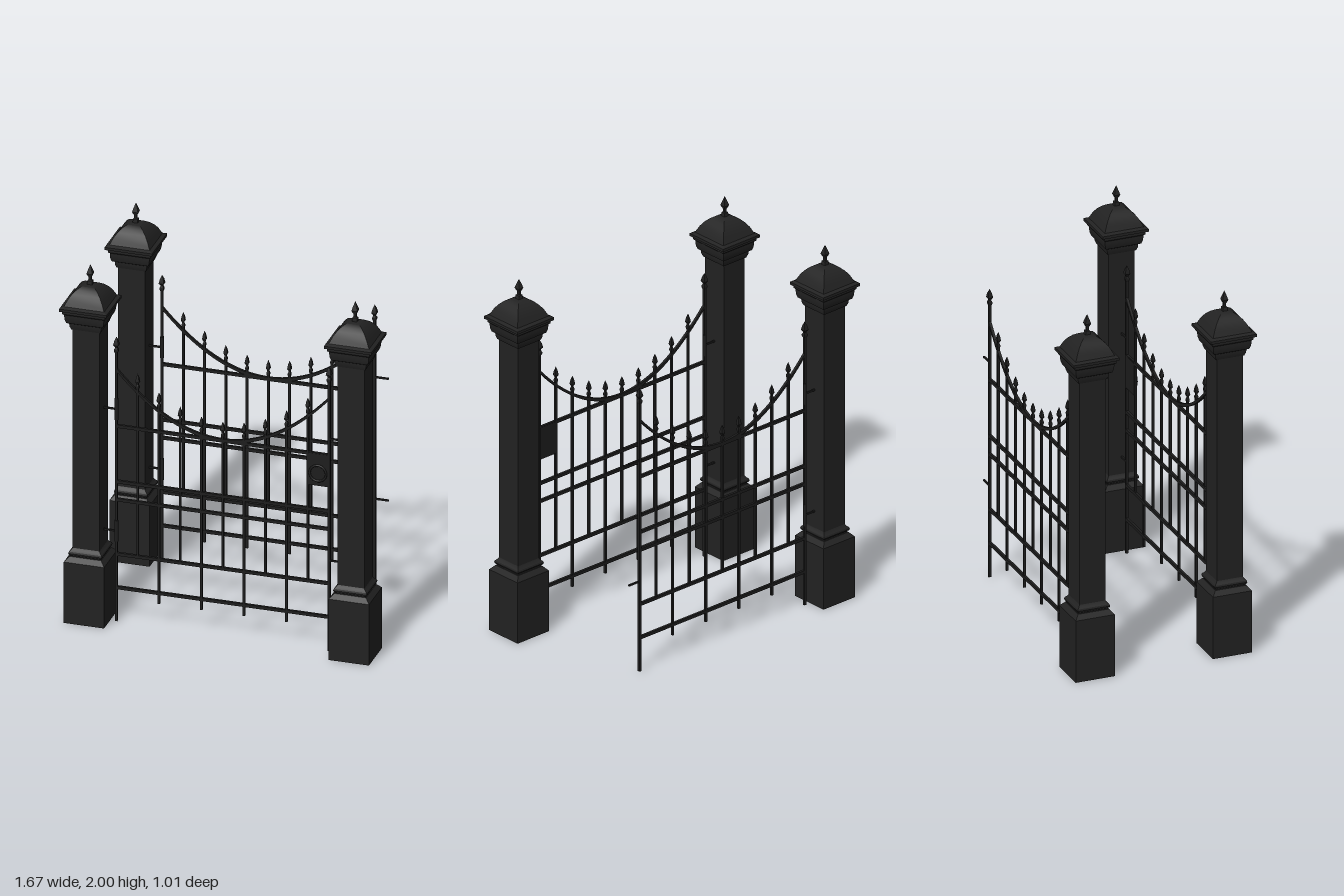
import * as THREE from 'three';
import { toCreasedNormals } from 'three/addons/utils/BufferGeometryUtils.js';

const postPaint = new THREE.MeshStandardMaterial({ color: 0x222222 });
postPaint.name = 'postBlack';
const ironPaint = new THREE.MeshStandardMaterial({ color: 0x1d1d1d });
ironPaint.name = 'ironBlack';

const POST_X = 0.71, ROW_Z = 0.38, STILE_X = 0.57, SPACING = 0.114;

// Square-section solid from [half width, height] pairs, bottom to top
function squareTurned(profile) {
  const points = profile.map(([half, y]) => new THREE.Vector2(half * Math.SQRT2, y));
  return toCreasedNormals(new THREE.LatheGeometry(points, 4, Math.PI / 4), 0.5);
}

function add(group, name, geometry, material, x = 0, y = 0, z = 0) {
  const mesh = new THREE.Mesh(geometry, material);
  mesh.name = name;
  mesh.position.set(x, y, z);
  group.add(mesh);
  return mesh;
}

function box(group, name, w, h, d, x, y, z = 0) {
  return add(group, name, new THREE.BoxGeometry(w, h, d), ironPaint, x, y, z);
}

function createPost() {
  const post = new THREE.Group();
  post.name = 'post';
  add(post, 'plinth', squareTurned([
    [0, 0], [0.108, 0], [0.108, 0.345], [0.085, 0.37], [0, 0.37],
  ]), postPaint);
  add(post, 'baseMoulding', squareTurned([
    [0, 0.365], [0.08, 0.365], [0.08, 0.375], [0.087, 0.38], [0.09, 0.388],
    [0.087, 0.397], [0.078, 0.405], [0.072, 0.415], [0, 0.415],
  ]), postPaint);
  add(post, 'shaft', squareTurned([[0, 0.4], [0.072, 0.4], [0.072, 1.67], [0, 1.67]]), postPaint);
  add(post, 'capital', squareTurned([
    [0, 1.655], [0.078, 1.655], [0.085, 1.675], [0.086, 1.69], [0.098, 1.697],
    [0.104, 1.715], [0.106, 1.735], [0.106, 1.745], [0.114, 1.752], [0.114, 1.765],
    [0.127, 1.77], [0.127, 1.785], [0, 1.785],
  ]), postPaint);
  add(post, 'domedCap', squareTurned([
    [0.127, 1.785], [0.108, 1.793], [0.102, 1.805], [0.09, 1.83], [0.074, 1.853],
    [0.055, 1.872], [0.035, 1.885], [0.016, 1.89], [0, 1.89],
  ]), postPaint);
  add(post, 'finial', squareTurned([
    [0.014, 1.885], [0.012, 1.91], [0.007, 1.913], [0.007, 1.93], [0.011, 1.938],
    [0.016, 1.95], [0.01, 1.97], [0, 2],
  ]), postPaint);
  return post;
}

// Spear tip whose point is at the given height
function spear(group, x, top, scale) {
  const tip = add(group, 'spearTip', squareTurned([
    [0, -0.092], [0.007, -0.09], [0.011, -0.08], [0.011, -0.072], [0.006, -0.062],
    [0.007, -0.056], [0.014, -0.046], [0.009, -0.022], [0, 0],
  ]), ironPaint, x, top);
  tip.scale.set(scale, 1, scale);
}

function createGate(withLock) {
  const gate = new THREE.Group();
  gate.name = withLock ? 'lockedGate' : 'plainGate';
  const sweep = x => 1.107 + 0.32 * (x / STILE_X) ** 2;

  for (const y of [0.19, 0.38, 0.688, 0.79, 1.105]) {
    box(gate, 'rail', STILE_X * 2, 0.017, 0.014, 0, y);
  }

  // End stiles and their side pins
  for (const side of [-1, 1]) {
    box(gate, 'stile', 0.013, 1.54, 0.014, side * STILE_X, 0.77);
    spear(gate, side * STILE_X, 1.61, 1);
    for (const y of [0.51, 1.2]) {
      box(gate, 'pin', 0.075, 0.009, 0.009, side * 0.6075, y);
      if (side < 0) {
        add(gate, 'hingeBarrel', new THREE.CylinderGeometry(0.01, 0.01, 0.12, 12),
          ironPaint, -STILE_X, y);
      }
    }
  }

  // Alternate pickets reach below the lower rails
  for (let i = -4; i <= 4; i++) {
    const x = i * SPACING;
    const bottom = i % 2 ? 0.13 : 0.38;
    const top = sweep(x) + 0.105;
    box(gate, 'picket', 0.012, top - 0.07 - bottom, 0.012, x, (top - 0.07 + bottom) / 2);
    spear(gate, x, top, 0.75);
  }

  // Sagging top rail
  const outline = new THREE.Shape();
  const steps = 32;
  for (let i = 0; i <= steps; i++) {
    const x = STILE_X * (2 * i / steps - 1);
    if (i) outline.lineTo(x, sweep(x) - 0.009);
    else outline.moveTo(x, sweep(x) - 0.009);
  }
  for (let i = steps; i >= 0; i--) {
    const x = STILE_X * (2 * i / steps - 1);
    outline.lineTo(x, sweep(x) + 0.009);
  }
  add(gate, 'sweptRail', toCreasedNormals(
    new THREE.ExtrudeGeometry(outline, { depth: 0.014, bevelEnabled: false }), 0.5,
  ), ironPaint, 0, 0, -0.007);

  if (withLock) {
    box(gate, 'lockPlate', 0.114, 0.18, 0.016, 0.513, 1.018);
    add(gate, 'lockRing', new THREE.TorusGeometry(0.044, 0.006, 8, 32),
      ironPaint, 0.513, 1, 0.012);
  }
  return gate;
}

export function createModel() {
  const model = new THREE.Group();
  model.name = 'gateway';
  for (const [x, z] of [[-POST_X, ROW_Z], [POST_X, ROW_Z], [-POST_X, -ROW_Z]]) {
    const post = createPost();
    post.position.set(x, 0, z);
    model.add(post);
  }
  for (const z of [ROW_Z, -ROW_Z]) {
    const gate = createGate(z > 0);
    gate.position.z = z;
    model.add(gate);
  }
  return model;
}
